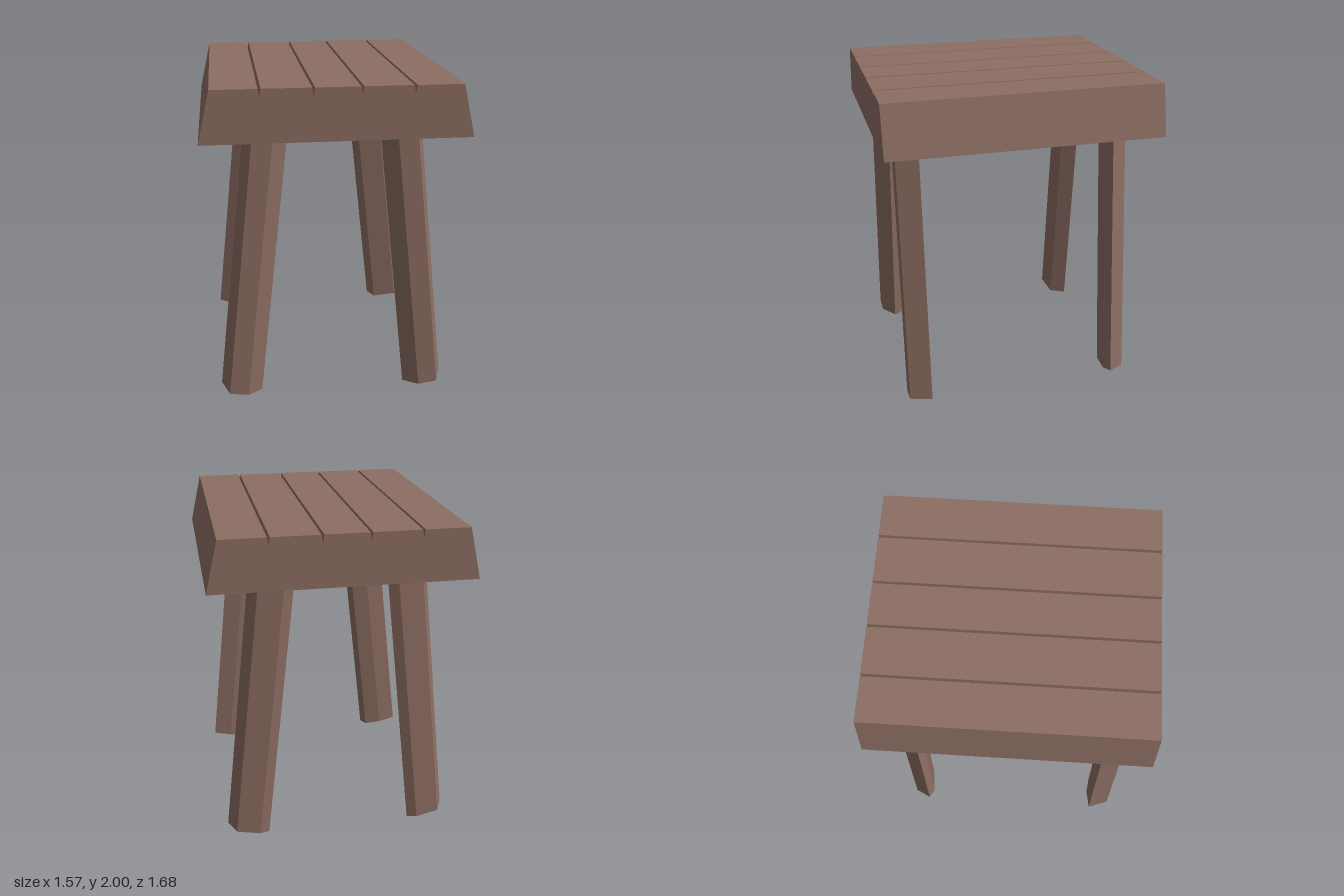
import * as THREE from 'three';
import { ConvexGeometry } from 'three/addons/geometries/ConvexGeometry.js';

const wood = new THREE.MeshStandardMaterial({ color: 0x8d6e63, flatShading: true });
const SEAT_BOTTOM = 1.69, SEAT_TOP = 2, DEPTH = 1.68;

function part(name, geometry) {
  const mesh = new THREE.Mesh(geometry, wood);
  mesh.name = name;
  return mesh;
}

// Tapered slab with V grooves between the planks
function seat() {
  const shape = new THREE.Shape();
  shape.moveTo(-0.787, SEAT_BOTTOM);
  shape.lineTo(0.787, SEAT_BOTTOM);
  shape.lineTo(0.715, SEAT_TOP);
  for (const x of [0.435, 0.135, -0.14, -0.44]) {
    shape.lineTo(x + 0.008, SEAT_TOP);
    shape.lineTo(x, SEAT_TOP - 0.05);
    shape.lineTo(x - 0.008, SEAT_TOP);
  }
  shape.lineTo(-0.715, SEAT_TOP);
  shape.closePath();
  const geometry = new THREE.ExtrudeGeometry(shape, { depth: DEPTH, bevelEnabled: false });
  return part('seat', geometry.translate(0, 0, -DEPTH / 2));
}

// Irregular six-sided leg leaning inwards, its foot cut square to the lean
function leg(name, section, side) {
  const shape = new THREE.Shape(section.map(([x, z]) => new THREE.Vector2(x * side, -z)));
  const geometry = new THREE.ExtrudeGeometry(shape, { depth: 1, bevelEnabled: false });
  geometry.rotateX(-Math.PI / 2);
  const p = geometry.attributes.position;
  for (let i = 0; i < p.count; i++) {
    const x = p.getX(i);
    const foot = 0.005 + (Math.abs(x) - 0.46) * 0.14;
    const y = THREE.MathUtils.lerp(foot, SEAT_BOTTOM + 0.02, p.getY(i));
    p.setXYZ(i, x - side * 0.109 * y, y, p.getZ(i));
  }
  geometry.computeVertexNormals();
  return part(name, geometry);
}

// Shallow wedge under the seat, fading out from the inside of a leg
function wedge(name, side, end, drop) {
  const points = [
    [0.3, SEAT_BOTTOM - drop, 0.6], [0.45, SEAT_BOTTOM - drop, 0.585],
    [0.14, SEAT_BOTTOM, 0.6], [0.45, SEAT_BOTTOM, 0.15],
    [0.45, SEAT_BOTTOM, 0.65], [0.3, SEAT_BOTTOM, 0.65],
  ].map(([x, y, z]) => new THREE.Vector3(x * side, y, z * end));
  return part(name, new ConvexGeometry(points));
}

export function createModel() {
  const model = new THREE.Group();
  model.name = 'stool';
  model.add(seat());

  // Leg outlines at floor level, as x and z
  const front = [[0.72, 0.605], [0.67, 0.74], [0.55, 0.74], [0.46, 0.66], [0.49, 0.6], [0.6, 0.585]];
  const back = [[0.72, -0.61], [0.66, -0.58], [0.5, -0.6], [0.46, -0.7], [0.52, -0.725], [0.67, -0.71]];
  for (const [label, side] of [['Left', 1], ['Right', -1]]) {
    model.add(
      leg('front' + label + 'Leg', front, side),
      leg('back' + label + 'Leg', back, side),
      wedge('front' + label + 'Wedge', side, 1, 0.042),
      wedge('back' + label + 'Wedge', side, -1, 0.01),
    );
  }
  return model;
}
